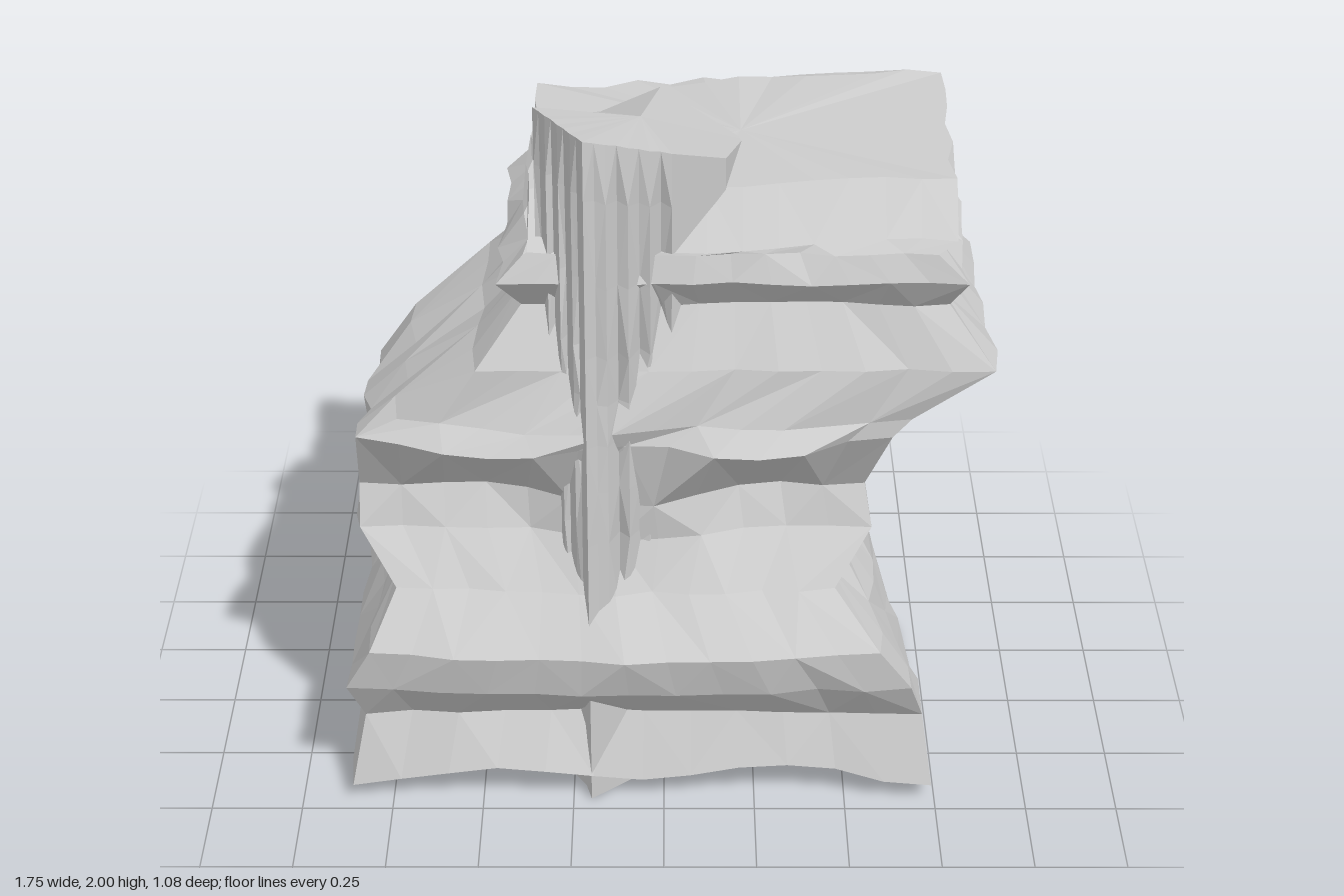
import * as THREE from 'three';

const material = new THREE.MeshStandardMaterial({ color: 0xcccccc, flatShading: true });

// repeatable noise in -1..1
const noise = (a, b) => {
  const s = Math.sin(a * 127.1 + b * 311.7) * 43758.5453;
  return (s - Math.floor(s)) * 2 - 1;
};

// Skin a stack of equal-length rings (counter-clockwise from above), closed by fans.
function skinRings(rings, name) {
  const n = rings[0].length, pos = [], index = [];
  for (const r of rings) for (const p of r) pos.push(...p);
  for (let k = 0; k < rings.length - 1; k++) {
    for (let i = 0; i < n; i++) {
      const a = k * n + i, b = k * n + (i + 1) % n;
      if ((i + k) % 2) index.push(a, b, b + n, a, b + n, a + n);
      else index.push(a, b, a + n, b, b + n, a + n);
    }
  }
  const cap = (ring, start, up) => {
    const mid = d => {
      const v = ring.map(p => p[d]);
      return (Math.min(...v) + Math.max(...v)) / 2;
    };
    const ci = pos.length / 3;
    pos.push(mid(0), ring.reduce((s, p) => s + p[1], 0) / n, mid(2));
    for (let i = 0; i < n; i++) {
      const a = start + i, b = start + (i + 1) % n;
      index.push(...(up ? [a, b, ci] : [b, a, ci]));
    }
  };
  cap(rings[0], 0, false);
  cap(rings[rings.length - 1], (rings.length - 1) * n, true);
  const g = new THREE.BufferGeometry();
  g.setAttribute('position', new THREE.Float32BufferAttribute(pos, 3));
  g.setIndex(index);
  const flat = g.toNonIndexed();
  flat.computeVertexNormals();
  const mesh = new THREE.Mesh(flat, material);
  mesh.name = name;
  return mesh;
}

// Rock strata: front y, back y, left x, right x, front z, back z, then shape options:
// bow = front arch, crown = bump beside the spire, lobes = twin front overhangs,
// hollow = back recess, lift = raised middle of the back, inset = right back corner pulled in
const strata = [
  [0.05, 0.00, -0.86, 0.74, 0.46, -0.37, { inset: 0.04 }],
  [0.25, 0.28, -0.82, 0.71, 0.40, -0.49, { bow: -0.03, inset: 0.10 }],
  [0.39, 0.36, -0.86, 0.67, 0.47, -0.27, { bow: 0.03, hollow: 0.04, inset: 0.06 }],
  [0.52, 0.50, -0.79, 0.58, 0.49, -0.22, { bow: 0.05, hollow: 0.08 }],
  [0.65, 0.69, -0.72, 0.46, 0.37, -0.23, { bow: 0.03, hollow: 0.08, lift: 0.05 }],
  [0.78, 0.75, -0.82, 0.56, 0.27, -0.25, { crown: 0.08, hollow: 0.03, lift: 0.06, inset: 0.06 }],
  [0.89, 0.82, -0.82, 0.54, 0.22, -0.32, { crown: 0.12, lift: 0.05, inset: 0.08 }],
  [1.10, 0.95, -0.81, 0.60, 0.33, -0.39, { crown: 0.04, lobes: 0.11, hollow: -0.06, lift: 0.04, inset: 0.12 }],
  [1.15, 1.12, -0.70, 0.65, 0.32, -0.36, { crown: 0.06, lobes: 0.06 }],
  [1.30, 1.28, -0.49, 0.86, 0.33, -0.43, {}],
  [1.45, 1.44, -0.37, 0.74, 0.24, -0.31, {}],
  [1.55, 1.56, -0.43, 0.78, 0.32, -0.33, {}],
  [1.62, 1.63, -0.36, 0.70, 0.29, -0.32, {}],
  [1.63, 1.74, -0.35, 0.75, 0.27, -0.52, {}],
  [1.71, 1.75, -0.35, 0.76, 0.07, -0.50, {}],
];
const ACROSS = 12, DEEP = 6, LIP = 13;

function stratumRing([yf, yb, xl, xr, zf, zb, shape], k) {
  const { bow = 0, crown = 0, lobes = 0, hollow = 0, lift = 0, inset = 0 } = shape;
  const ring = [];
  const add = (u, v, side) => {
    const i = ring.length, arch = Math.sin(Math.PI * u);
    const twin = Math.sin(2 * Math.PI * u) ** 2;
    const corner = (u === 0 || u === 1) && (v === 0 || v === 1);
    const j = corner ? 0 : 0.014;
    let x = xl + (xr - inset * v - xl) * u, z = zf + (zb - zf) * v, y = yf + (yb - yf) * v;
    if (side === 'front') {
      z += bow * arch + crown * Math.exp(-(((x + 0.1) / 0.2) ** 2)) + lobes * twin + j * noise(i, k);
      if (k === 0) y += 0.05 * twin + 0.02 * arch; // scalloped foot
    } else if (side === 'back') {
      z += hollow * arch + j * noise(i, k);
      y += lift * arch;
      if (k > 0) y += j * 0.7 * noise(k, i);
    } else {
      x += j * 1.3 * noise(i, k);
      if (k > 0 && k < LIP) y += j * noise(k, i);
    }
    if (k >= LIP) y += 0.02 * Math.sin(4 * x - 1); // top slab sags beside the spire
    ring.push([x, y, z]);
  };
  for (let i = 0; i < ACROSS; i++) add(i / ACROSS, 0, 'front');
  for (let i = 0; i < DEEP; i++) add(1, i / DEEP, 'side');
  for (let i = 0; i < ACROSS; i++) add(1 - i / ACROSS, 1, 'back');
  for (let i = 0; i < DEEP; i++) add(0, 1 - i / DEEP, 'side');
  return ring;
}

// Upright wedge-shaped spire core: plan corner x, z and the height of the top there
const outline = [
  [-0.33, 0.22, 2.00], [-0.20, 0.42, 2.00], [0.02, 0.28, 1.90], [0.16, 0.08, 1.79],
  [0.21, -0.18, 1.72], [-0.01, -0.25, 1.84], [-0.17, -0.18, 1.80], [-0.32, -0.03, 1.86],
];

// Spire rings: height fraction, strength of the flutes in the front faces
const spireLevels = [
  [0, 0], [0.2, 0], [0.3, 0.2], [0.42, 0.8], [0.5, 0.5], [0.57, 0.9],
  [0.63, 0.5], [0.7, 1], [0.8, 0.9], [0.92, 0.6], [1, 0.1],
];

function spireRing([t, flute], k) {
  const ring = [];
  outline.forEach(([x0, z0, top0], e) => {
    const [x1, z1, top1] = outline[(e + 1) % outline.length];
    const steps = e < 2 ? 8 : 2;               // the two front faces are finely folded
    for (let s = 0; s < steps; s++) {
      const f = s / steps;
      const x = x0 + (x1 - x0) * f, y = (top0 + (top1 - top0) * f) * t;
      let z = z0 + (z1 - z0) * f;
      if (e < 2 && s > 0) z += flute * ((s % 2 ? -0.04 : 0.01) * (0.8 + 0.5 * noise(s, e)) + 0.012 * noise(s, k + 3));
      if (e === 1) z += 0.045 * (1 - f) * Math.sin(Math.PI * Math.min(1, t * 0.7 + 0.3)); // prow leans out lower down
      if (e === 4 || e === 5) z -= 0.03 * (1 - t);
      ring.push([x, y, z]);
    }
  });
  return ring;
}

export function createModel() {
  const group = new THREE.Group();
  group.name = 'layeredRock';
  group.add(skinRings(strata.map(stratumRing), 'rockStrata'));
  group.add(skinRings(spireLevels.map(spireRing), 'spire'));
  return group;
}
